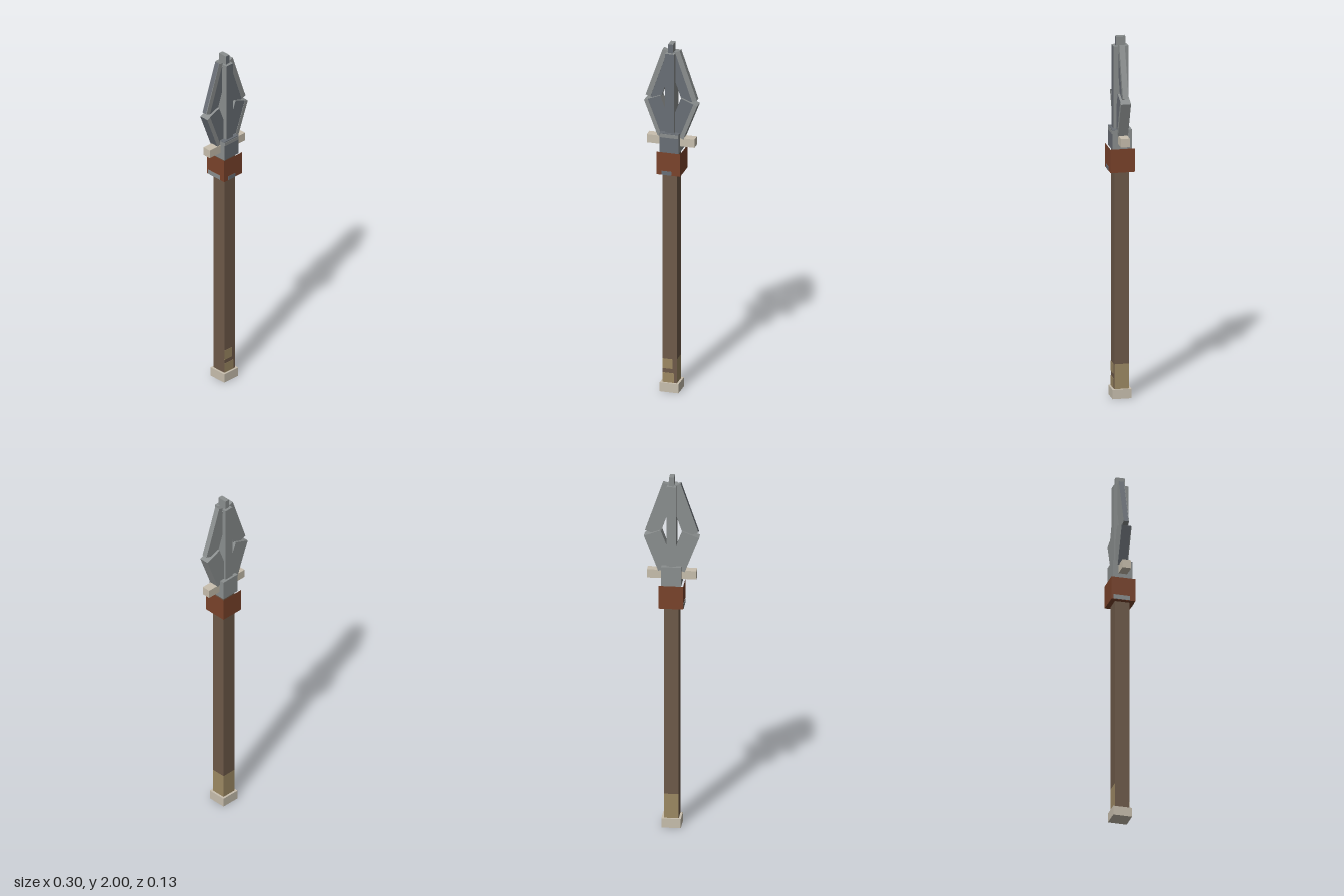
import * as THREE from 'three';

const mat = (name, color) => Object.assign(new THREE.MeshStandardMaterial({ color }), { name });

export function createModel() {
  const group = new THREE.Group();
  const wood = mat('shaft wood', 0x6e5a49);
  const tan = mat('tan wrap', 0x9d8963);
  const cream = mat('cream bone', 0xc8bfae);
  const red = mat('red leather', 0x7a432b);
  const light = mat('light steel', 0x8b8f8f);
  const dark = mat('dark steel', 0x696e75);

  // Box with optional per-face materials, order +x -x +y -y +z -z; null leaves a face out
  function box(name, size, pos, mats, parent = group) {
    const geo = new THREE.BoxGeometry(...size);
    let material = mats;
    if (Array.isArray(mats)) {
      const src = Array.from(geo.index.array), index = [];
      geo.clearGroups();
      material = [];
      mats.forEach((m, i) => {
        if (!m) return;
        geo.addGroup(index.length, 6, material.length);
        material.push(m);
        index.push(...src.slice(i * 6, i * 6 + 6));
      });
      geo.setIndex(index);
    }
    const mesh = new THREE.Mesh(geo, material);
    mesh.name = name;
    mesh.position.set(...pos);
    parent.add(mesh);
    return mesh;
  }

  // Handle
  box('buttCap', [0.104, 0.052, 0.104], [0, 0.026, 0], cream);
  box('shaftFoot', [0.08, 0.14, 0.08], [0, 0.12, 0], [tan, wood, wood, wood, wood, tan]);
  box('shaft', [0.08, 1.2, 0.08], [0, 0.79, 0], wood);
  box('upperWrapPatch', [0.055, 0.055, 0.004], [-0.0125, 0.16, 0.04], tan);
  box('lowerWrapPatch', [0.065, 0.055, 0.004], [-0.0075, 0.08, 0.04], tan);

  // Leather collar, open at the top, with worn patches at its hem
  box('collar', [0.132, 0.13, 0.132], [0, 1.325, 0], [red, red, null, red, red, red]);
  box('collarFrontPatch', [0.055, 0.022, 0.004], [-0.01, 1.272, 0.066], dark);
  box('collarSidePatch', [0.004, 0.025, 0.09], [-0.066, 1.274, -0.01], light);

  // Socket and guard
  box('socket', [0.106, 0.11, 0.106], [0, 1.438, 0], [light, light, light, light, dark, light]);
  box('socketTopPlate', [0.106, 0.004, 0.029], [0, 1.493, 0.0385], dark);
  box('socketRim', [0.1, 0.02, 0.004], [0, 1.481, 0.053], light);
  box('guard', [0.264, 0.047, 0.048], [0, 1.442, 0], cream);

  // Central spine and tip
  box('spine', [0.05, 0.56, 0.082], [0, 1.67, 0], [light, light, light, light, dark, light]);
  box('tip', [0.026, 0.06, 0.052], [0, 1.97, -0.001], [light, light, light, light, dark, light]);

  // Tilted blade slab, placed by the outer top corner; angle swings it about z
  function blade(name, s, corner, angle, [w, h, d], z, strip) {
    const holder = new THREE.Group();
    holder.name = name;
    holder.position.set(s * corner[0], corner[1], z);
    holder.rotation.z = s * angle;
    group.add(holder);
    const outer = s < 0 ? dark : light;
    const sides = s > 0 ? [outer, light] : [light, outer];
    box(name + 'Slab', [w, h, d], [-s * w / 2, -h / 2, 0], [...sides, light, light, dark, light], holder);
    box(name + 'Edge', [strip, h, 0.004], [-s * strip / 2, -h / 2, d / 2], light, holder);
  }
  for (const s of [-1, 1]) {
    const side = s > 0 ? 'left' : 'right';
    const z = s > 0 ? -0.001 : -0.0065;
    blade(side + 'UpperBlade', s, [0.048, 1.963], 0.333, [0.082, 0.291, 0.028], z, 0.028);
    blade(side + 'LowerBlade', s, [0.148, 1.661], -0.367, [0.096, 0.215, 0.053], z, 0.022);
  }
  return group;
}
